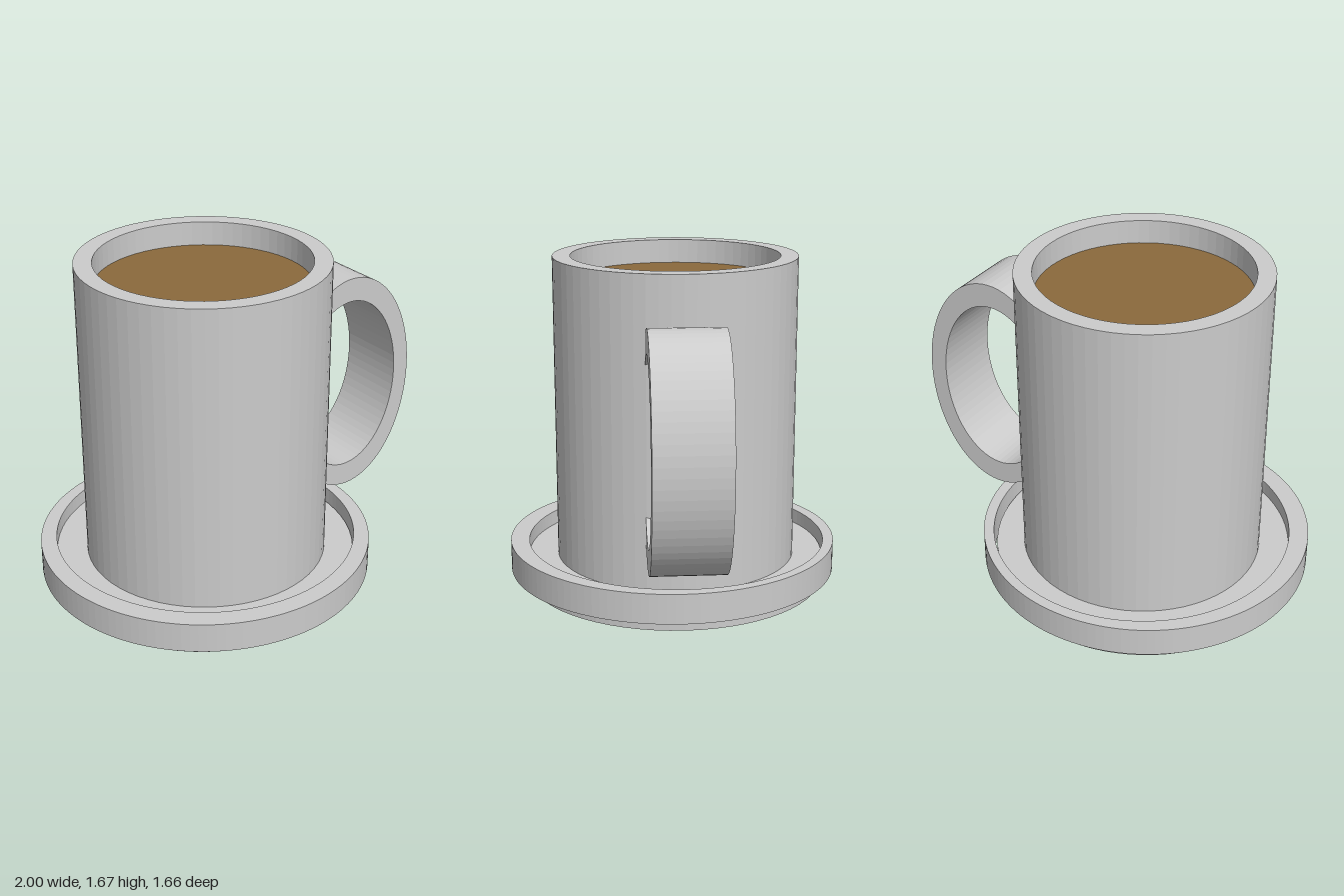
import * as THREE from 'three';

const SEGMENTS = 64;
const grey = new THREE.MeshStandardMaterial({ color: 0xcccccc, flatShading: true });
const coffee = new THREE.MeshStandardMaterial({ color: 0x8b6a3c });

function part(name, geometry, material = grey) {
  const mesh = new THREE.Mesh(geometry, material);
  mesh.name = name;
  return mesh;
}

export function createModel() {
  const model = new THREE.Group();
  model.name = 'mugOnSaucer';

  // Saucer base disc
  const base = part('saucerBase', new THREE.CylinderGeometry(0.757, 0.757, 0.14, SEGMENTS));
  base.position.set(-0.168, 0.07, -0.012);
  model.add(base);

  // Saucer rim: a ring whose opening sits slightly off centre
  const ring = new THREE.Shape().absarc(-0.17, 0, 0.83, 0, Math.PI * 2);
  ring.holes.push(new THREE.Path().absarc(-0.155, 0.02, 0.755, 0, Math.PI * 2, true));
  const rim = part('saucerRim', new THREE.ExtrudeGeometry(ring, {
    depth: 0.15, bevelEnabled: false, curveSegments: SEGMENTS,
  }));
  rim.rotation.x = -Math.PI / 2;
  rim.position.y = 0.063;
  model.add(rim);

  // Mug body with thick wall and floor
  const profile = [
    [0, 0.13], [0.605, 0.13], [0.605, 1.67], [0.517, 1.67], [0.517, 0.25], [0, 0.25],
  ].map(([r, y]) => new THREE.Vector2(r, y));
  const body = part('mugBody', new THREE.LatheGeometry(profile, SEGMENTS));
  body.position.set(-0.155, 0, -0.016);
  model.add(body);

  // Drink surface
  const drink = part('drink', new THREE.CircleGeometry(0.517, SEGMENTS), coffee);
  drink.rotation.x = -Math.PI / 2;
  drink.position.set(-0.155, 1.55, -0.016);
  model.add(drink);

  // Handle: band between two ellipses, cut flat where it meets the mug
  const cutX = 0.42, centreY = 0.88;
  const arc = (cx, rx, ry, n) => {
    const end = Math.acos((cutX - cx) / rx);
    return Array.from({ length: n + 1 }, (_, i) => {
      const a = -end + (2 * end * i) / n;
      return new THREE.Vector2(cx + rx * Math.cos(a), centreY + ry * Math.sin(a));
    });
  };
  const outer = arc(0.613, 0.387, 0.575, 48);
  const inner = arc(0.602, 0.308, 0.455, 48).reverse();
  const handle = part('handle', new THREE.ExtrudeGeometry(
    new THREE.Shape([...outer, ...inner]), { depth: 0.36, bevelEnabled: false }));
  handle.position.z = -0.196;
  model.add(handle);

  return model;
}
